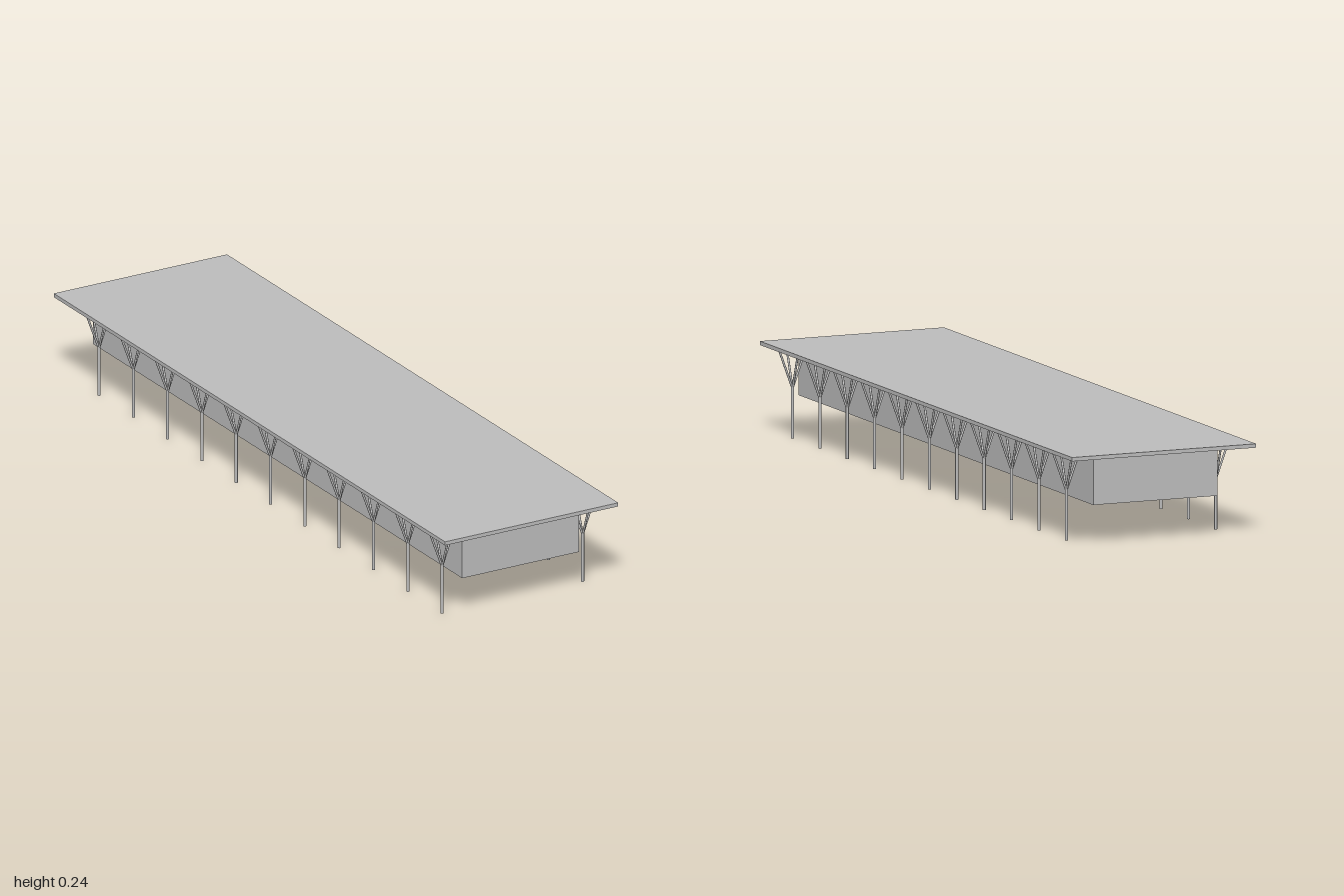
import * as THREE from 'three';

const grey = new THREE.MeshStandardMaterial({ color: 0xbcbcbc });
grey.name = 'plain grey';

function addBox(parent, name, w, h, d, y) {
  const mesh = new THREE.Mesh(new THREE.BoxGeometry(w, h, d), grey);
  mesh.name = name;
  mesh.position.y = y;
  parent.add(mesh);
}

// Round bar between two points
function addBar(parent, name, from, to, radius) {
  const dir = to.clone().sub(from);
  const bar = new THREE.Mesh(new THREE.CylinderGeometry(radius, radius, dir.length(), 10), grey);
  bar.name = name;
  bar.position.copy(from).add(to).multiplyScalar(0.5);
  bar.quaternion.setFromUnitVectors(new THREE.Vector3(0, 1, 0), dir.normalize());
  parent.add(bar);
}

// Post that splits into four branches under the roof
function makeTreeColumn() {
  const column = new THREE.Group();
  column.name = 'treeColumn';
  const fork = new THREE.Vector3(0, 0.128, 0);
  addBar(column, 'post', new THREE.Vector3(), new THREE.Vector3(0, 0.133, 0), 0.004);
  for (let i = 0; i < 4; i++) {
    const a = i * Math.PI / 2;
    const tip = new THREE.Vector3(0.038 * Math.cos(a), 0.231, 0.038 * Math.sin(a));
    addBar(column, 'branch', fork, tip, 0.0028);
  }
  return column;
}

export function createModel() {
  const model = new THREE.Group();
  model.name = 'pavilion';

  // The whole building stands turned on its site
  const building = new THREE.Group();
  building.name = 'building';
  building.rotation.y = 0.275;
  model.add(building);

  addBox(building, 'roofSlab', 0.51, 0.01, 1.933, 0.233);
  addBox(building, 'raisedHall', 0.344, 0.127, 1.824, 0.1655);

  // A row of columns along each long side
  for (const side of [-1, 1]) {
    for (let i = -5; i <= 5; i++) {
      const column = makeTreeColumn();
      column.position.set(side * 0.207, 0, 0.024 + i * 0.1695);
      building.add(column);
    }
  }
  return model;
}
